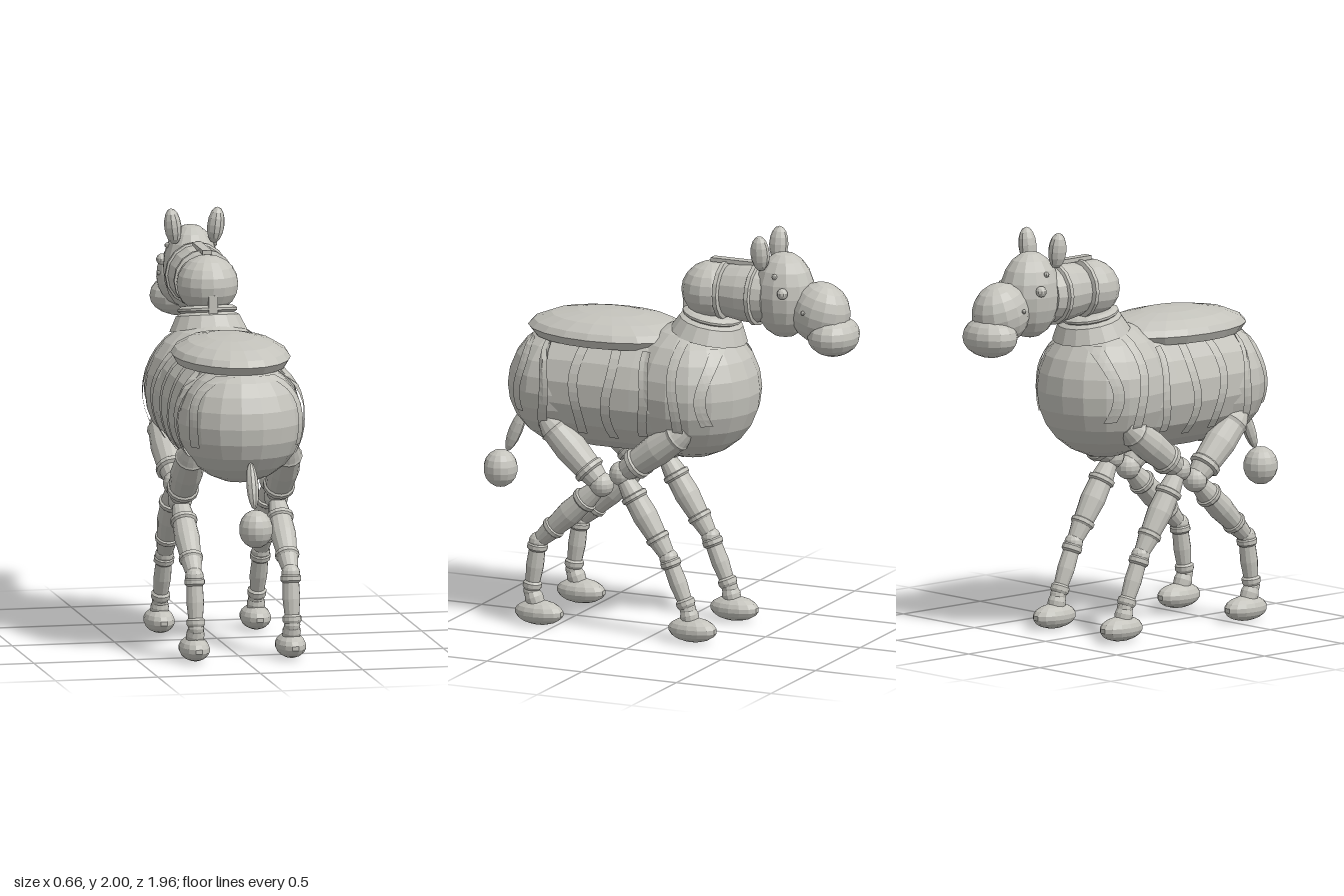
import * as THREE from 'three';

const grey = new THREE.MeshStandardMaterial({ color: 0xc4c3bc, side: THREE.DoubleSide });
grey.name = 'warm grey';

export function createModel() {
  const model = new THREE.Group();
  model.name = 'jointedPony';

  // Faceted mesh: split vertices so each face keeps its own normal
  const add = (name, geometry) => {
    const g = geometry.index ? geometry.toNonIndexed() : geometry;
    g.computeVertexNormals();
    const mesh = new THREE.Mesh(g, grey);
    mesh.name = name;
    model.add(mesh);
    return mesh;
  };
  const ball = (name, x, y, z, rx, ry = rx, rz = rx, w = 14, h = 9) => {
    const g = new THREE.SphereGeometry(1, w, h);
    g.scale(rx, ry, rz);
    const m = add(name, g);
    m.position.set(x, y, z);
    return m;
  };
  // Turned part between two points; profile is [radius, fraction of length]
  const turned = (name, a, b, profile, sides = 14) => {
    const from = new THREE.Vector3(...a), dir = new THREE.Vector3(...b).sub(from);
    const pts = profile.map(([r, t]) => new THREE.Vector2(r, t * dir.length()));
    const m = add(name, new THREE.LatheGeometry(pts, sides));
    m.position.copy(from);
    m.quaternion.setFromUnitVectors(new THREE.Vector3(0, 1, 0), dir.normalize());
    return m;
  };

  // Body: chest, barrel and rump
  const chest = { y: 1.19, z: -0.12, rx: 0.325, ry: 0.335, rz: 0.33 };
  const rump = { y: 1.15, z: 0.53, rx: 0.305, ry: 0.298, rz: 0.3 };
  for (const [name, e] of [['chest', chest], ['rump', rump]])
    ball(name, 0, e.y, e.z, e.rx, e.ry, e.rz, 18, 12);
  turned('barrel', [0, 1.17, -0.12], [0, 1.17, 0.55],
    [[0, 0], [0.3, 0], [0.31, 0.3], [0.31, 0.7], [0.298, 1], [0, 1]], 18);

  // Wavy straps lying on the flanks
  const flank = (y, z) => {
    const on = (e) => e.rx * Math.sqrt(Math.max(0,
      1 - ((y - e.y) / e.ry) ** 2 - ((z - e.z) / e.rz) ** 2));
    const barrel = z > -0.12 && z < 0.55 ? Math.sqrt(Math.max(0, 0.096 - (y - 1.17) ** 2)) : 0;
    return Math.max(on(chest), on(rump), barrel);
  };
  const straps = [[0.68, 1.05, 1.39], [0.54, 0.98, 1.4], [0.36, 0.97, 1.4], [0.19, 0.96, 1.4],
    [0.01, 0.99, 1.4], [-0.16, 1.0, 1.49], [-0.3, 1.07, 1.43]];
  for (const side of [-1, 1]) {
    straps.forEach(([z0, low, high], i) => {
      const g = new THREE.PlaneGeometry(1, 1, 2, 10);
      const p = g.attributes.position;
      for (let k = 0; k < p.count; k++) {
        const t = p.getY(k) + 0.5;
        const y = low + t * (high - low);
        const z = z0 + p.getX(k) * 0.05 + 0.014 * Math.sin(t * 6 + i * 2);
        p.setXYZ(k, side * (flank(y, z) + 0.008), y, z);
      }
      add('strap', g);
    });
  }

  // Oval saddle lid
  const lid = [[0, 1.39], [0.92, 1.395], [1, 1.435], [0.93, 1.465], [0.72, 1.5], [0.4, 1.522], [0, 1.53]];
  const lidGeometry = new THREE.LatheGeometry(lid.map(([r, y]) => new THREE.Vector2(r, y)), 20);
  lidGeometry.scale(0.28, 1, 0.42);
  add('saddle', lidGeometry).position.z = 0.315;

  // Neck: collar, ball and ringed tube
  turned('neckBase', [0, 1.46, -0.2], [0, 1.59, -0.225],
    [[0, 0], [0.19, 0], [0.155, 0.55], [0.13, 0.65], [0.145, 0.72], [0.145, 0.8], [0.125, 0.9], [0, 1]], 16);
  ball('neckBall', 0, 1.685, -0.22, 0.15, 0.14, 0.15, 16, 10);
  turned('neckTube', [0, 1.69, -0.28], [0, 1.69, -0.53],
    [[0, 0], [0.13, 0], [0.148, 0.02], [0.148, 0.1], [0.128, 0.12], [0.142, 0.45], [0.145, 0.68],
      [0.155, 0.7], [0.155, 0.78], [0.14, 0.8], [0.13, 1], [0, 1]], 16);
  const plate = (name, w, h, d, x, y, z) =>
    add(name, new THREE.BoxGeometry(w, h, d)).position.set(x, y, z);
  plate('maneStrip', 0.045, 0.02, 0.25, 0, 1.835, -0.345);
  plate('neckTab', 0.045, 0.11, 0.04, 0, 1.595, -0.095);

  // Head
  ball('head', 0, 1.7, -0.6, 0.135, 0.21, 0.155, 14, 10);
  ball('snout', 0, 1.63, -0.79, 0.128, 0.15, 0.15, 14, 10).rotation.x = -0.25;
  ball('mouth', 0, 1.525, -0.86, 0.147, 0.1, 0.123, 14, 10);
  for (const s of [-1, 1]) {
    ball('ear', s * 0.105, 1.915, -0.52, 0.042, 0.088, 0.047, 10, 8).rotation.z = -s * 0.12;
    ball('eye', s * 0.132, 1.735, -0.65, 0.027, 0.027, 0.027, 10, 7);
    ball('browBead', s * 0.115, 1.81, -0.6, 0.014, 0.014, 0.014, 8, 6);
    ball('nostril', s * 0.125, 1.65, -0.755, 0.011, 0.011, 0.011, 8, 6);
  }

  // Legs: profiles with turned rings at both ends
  const upper = [[0, 0], [0.045, 0], [0.06, 0.08], [0.07, 0.14], [0.076, 0.16], [0.07, 0.2], [0.078, 0.45],
    [0.068, 0.73], [0.077, 0.75], [0.077, 0.8], [0.062, 0.82], [0.045, 1], [0, 1]];
  const lower = [[0, 0], [0.036, 0], [0.055, 0.24], [0.065, 0.25], [0.065, 0.29], [0.056, 0.31], [0.061, 0.5],
    [0.05, 0.73], [0.058, 0.74], [0.058, 0.78], [0.05, 0.8], [0.035, 1], [0, 1]];
  const shank = [[0, 0], [0.038, 0], [0.05, 0.06], [0.05, 0.14], [0.04, 0.18], [0.043, 0.5], [0.036, 0.8],
    [0.046, 0.84], [0.046, 0.92], [0.034, 1], [0, 1]];
  // Joints as [y, z]: top, knee, ankle, fetlock, hoof
  const legs = {
    hind: [[1.02, 0.55], [0.725, 0.255], [0.41, 0.59], [0.165, 0.625], [0.062, 0.585]],
    front: [[1.045, -0.2], [0.79, 0.15], [0.4, -0.1], [0.16, -0.2], [0.062, -0.225]],
  };
  for (const s of [-1, 1]) {
    for (const [name, joints] of Object.entries(legs)) {
      const [top, knee, ankle, fetlock, hoof] = joints.map(([y, z]) => [s * 0.235, y, z]);
      turned(name + 'UpperLeg', top, knee, upper);
      ball(name + 'Knee', ...knee, 0.06);
      turned(name + 'LowerLeg', knee, ankle, lower);
      ball(name + 'Ankle', ...ankle, 0.046, 0.046, 0.046, 12, 8);
      turned(name + 'Shank', ankle, fetlock, shank, 12);
      ball(name + 'Fetlock', ...fetlock, 0.04, 0.04, 0.04, 12, 8);
      turned(name + 'Pastern', fetlock, hoof, [[0.036, 0], [0.045, 0.3], [0.04, 1]], 12);
      ball(name + 'Hoof', ...hoof, 0.073, 0.06, 0.125);
    }
  }

  // Tail with ball tip
  ball('tail', 0, 0.88, 0.82, 0.03, 0.115, 0.033, 10, 8).rotation.x = -0.4;
  ball('tailTip', 0, 0.685, 0.9, 0.083, 0.092, 0.083);

  return model;
}
